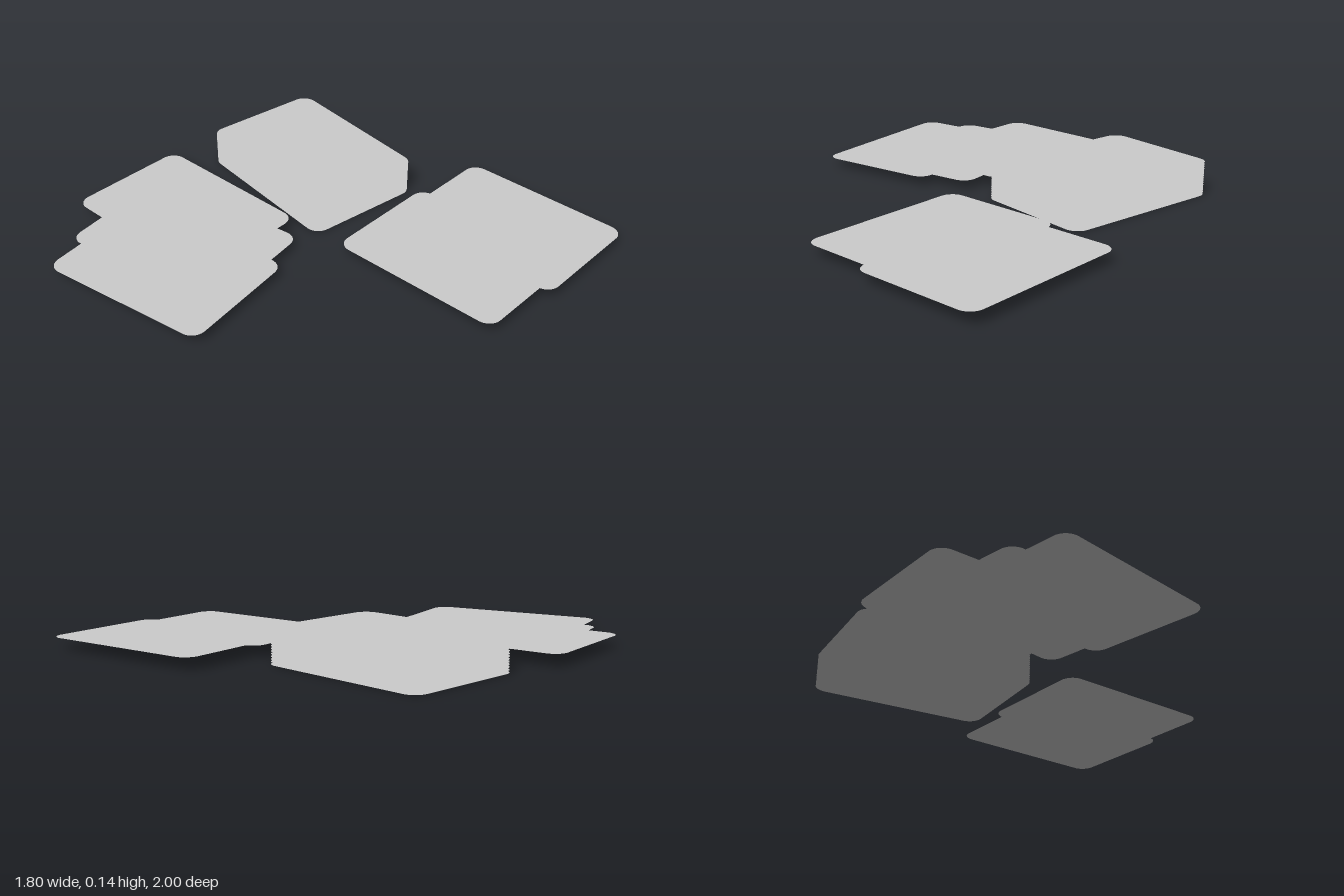
import * as THREE from 'three';

const W = 0.784, D = 0.562, R = 0.06; // card width, depth, corner radius

// Flat card with rounded corners, lying on the xz plane
function cardGeometry() {
  const x = W / 2, y = D / 2;
  const s = new THREE.Shape();
  s.moveTo(-x + R, -y);
  s.absarc(x - R, -y + R, R, -Math.PI / 2, 0);
  s.absarc(x - R, y - R, R, 0, Math.PI / 2);
  s.absarc(-x + R, y - R, R, Math.PI / 2, Math.PI);
  s.absarc(-x + R, -y + R, R, Math.PI, Math.PI * 1.5);
  return new THREE.ShapeGeometry(s, 8).rotateX(-Math.PI / 2);
}

export function createModel() {
  const model = new THREE.Group();
  model.name = 'cards';
  const geometry = cardGeometry();
  const material = new THREE.MeshStandardMaterial({ color: 0xcccccc, side: THREE.DoubleSide });

  const addCard = (parent, name, x, y, z, turn = 0) => {
    const card = new THREE.Mesh(geometry, material);
    card.name = name;
    card.position.set(x, y, z);
    card.rotation.y = turn;
    parent.add(card);
  };

  // Squared-up deck
  const deck = new THREE.Group();
  deck.name = 'deck';
  for (let i = 0; i < 15; i++) addCard(deck, `deckCard${i + 1}`, -0.43, i * 0.0103, -0.301);
  model.add(deck);

  // Overlapping pair at the back
  const backPair = new THREE.Group();
  backPair.name = 'backPair';
  addCard(backPair, 'rearCard', 0.475, 0.053, -0.67, 0.15);
  addCard(backPair, 'nearCard', 0.475, 0.0525, -0.34, 0.15);
  model.add(backPair);

  // Fanned cards at the front
  const frontFan = new THREE.Group();
  frontFan.name = 'frontFan';
  addCard(frontFan, 'topCard', -0.48, 0.053, 0.36, 0.15);
  addCard(frontFan, 'middleCard', -0.32, 0.043, 0.467, 0.285);
  addCard(frontFan, 'bottomCard', -0.207, 0.0425, 0.633, 0.285);
  model.add(frontFan);

  return model;
}
